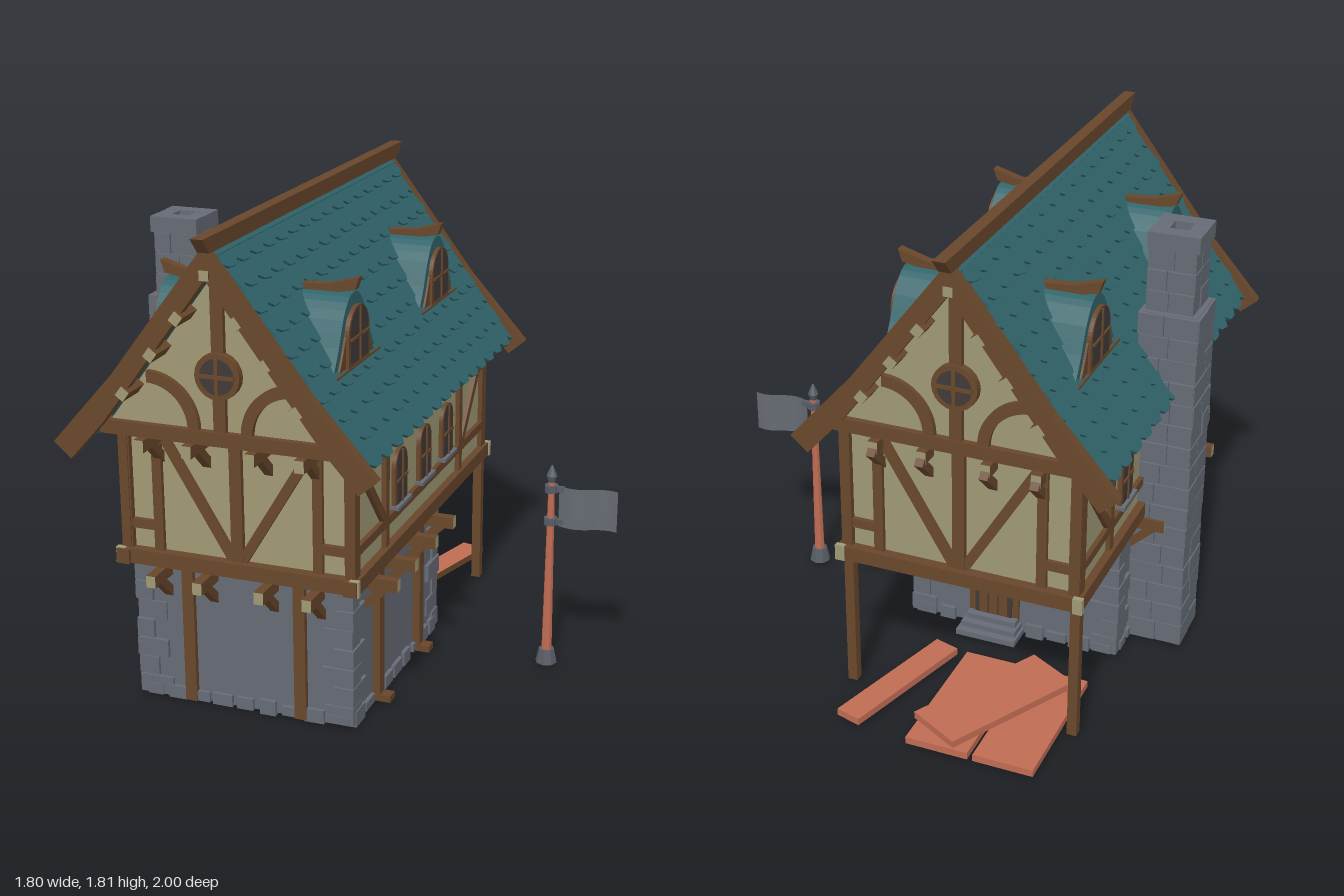
import * as THREE from 'three';

const mat = (name, color) => Object.assign(new THREE.MeshStandardMaterial({ color }), { name });
const wood = mat('timber', 0x68472b), cream = mat('plaster', 0xa09975), stone = mat('stone', 0x666b75);
const teal = mat('roof tile', 0x30646a), glass = mat('dark glass', 0x403a38), clay = mat('red wood', 0xc06c53);
const iron = mat('iron', 0x575c66), soot = mat('soot', 0x2c2d31);
const endGrain = [wood, wood, wood, wood, cream, wood];

let seed = 7;
const rnd = (a, b) => { seed = (seed * 16807) % 2147483647; return a + (b - a) * seed / 2147483647; };

function add(parent, name, geo, material, x = 0, y = 0, z = 0) {
  const m = new THREE.Mesh(geo, material);
  m.name = name;
  m.position.set(x, y, z);
  parent.add(m);
  return m;
}
const box = (p, name, m, w, h, d, x, y, z) => add(p, name, new THREE.BoxGeometry(w, h, d), m, x, y, z);
const group = (p, name, ry = 0) => {
  const g = new THREE.Group();
  g.name = name;
  g.rotation.y = ry;
  p.add(g);
  return g;
};
// straight timber between two points of a wall plane
function bar(p, name, m, x1, y1, x2, y2, w, d, z) {
  const b = box(p, name, m, Math.hypot(x2 - x1, y2 - y1), w, d, (x1 + x2) / 2, (y1 + y2) / 2, z);
  b.rotation.z = Math.atan2(y2 - y1, x2 - x1);
  return b;
}
const poly = pts => new THREE.Shape(pts.map(p => new THREE.Vector2(p[0], p[1])));
const extrude = (shape, depth) => new THREE.ExtrudeGeometry(shape, { depth, bevelEnabled: false, curveSegments: 10 });
const faceted = geo => { const g = geo.toNonIndexed(); g.computeVertexNormals(); return g; };
// arched outline standing on y = 0
function arch(w, h) {
  const s = new THREE.Shape();
  s.moveTo(-w, 0).lineTo(w, 0).lineTo(w, h - w);
  s.absarc(0, h - w, w, 0, Math.PI, false);
  return s;
}
function bell(k) {
  const half = [[0.25, 0], [0.2, 0.025], [0.15, 0.1], [0.1, 0.2], [0.05, 0.255]];
  const pts = [...half, [0, 0.27], ...half.slice().reverse().map(([x, y]) => [-x, y])];
  return new THREE.Shape(new THREE.SplineCurve(pts.map(([x, y]) => new THREE.Vector2(x * k, y * k))).getPoints(24));
}
function archedWindow(p, x, y, z, w, h) {
  const g = group(p, 'archedWindow');
  g.position.set(x, y, z);
  add(g, 'windowFrame', extrude(arch(w + 0.015, h + 0.015), 0.016), wood);
  add(g, 'windowPane', new THREE.ShapeGeometry(arch(w, h), 10), glass, 0, 0.012, 0.018);
  box(g, 'mullion', wood, 0.009, h, 0.008, 0, h / 2 + 0.01, 0.02);
  box(g, 'glazingBar', wood, 2 * w, 0.009, 0.008, 0, h * 0.52, 0.02);
  return g;
}
// joist end with a slanted brace beneath it
function joist(p, x, y, z, len) {
  box(p, 'joist', endGrain, 0.036, 0.045, len, x, y, z + len / 2 - 0.03);
  const b = box(p, 'joistBrace', wood, 0.032, 0.03, 0.125, x, y - 0.055, z + 0.035);
  b.rotation.x = -0.75;
}

// timber framing of a gable end: f is the wall face, g the gable face
function facade(p, f, g, edge) {
  box(p, 'sill', wood, 0.92, 0.055, 0.06, 0, 0.565, f + 0.01);
  box(p, 'tieBeam', wood, 0.91, 0.05, 0.05, 0, 1.085, g);
  box(p, 'kingPost', wood, 0.045, 0.6, 0.04, 0, 1.37, g);
  box(p, 'centrePost', wood, 0.045, 0.5, 0.04, 0, 0.82, f);
  add(p, 'roundWindowFrame', new THREE.CylinderGeometry(0.083, 0.083, 0.06, 20).rotateX(Math.PI / 2), wood, 0, 1.31, g);
  add(p, 'roundWindowPane', new THREE.CircleGeometry(0.064, 20), glass, 0, 1.31, g + 0.032);
  box(p, 'roundWindowBar', wood, 0.013, 0.13, 0.008, 0, 1.31, g + 0.034);
  box(p, 'roundWindowBar', wood, 0.13, 0.013, 0.008, 0, 1.31, g + 0.034);
  box(p, 'ridgeEnd', endGrain, 0.035, 0.035, edge + 0.045 - g, 0, 1.675, (edge + 0.045 + g) / 2);
  for (const s of [-1, 1]) {
    box(p, 'cornerPost', wood, 0.04, 0.52, 0.045, s * 0.427, 0.82, f);
    box(p, 'innerPost', wood, 0.036, 0.5, 0.035, s * 0.305, 0.82, f);
    box(p, 'shortRail', wood, 0.12, 0.035, 0.035, s * 0.365, 0.685, f);
    bar(p, 'diagonal', wood, s * 0.285, 1.04, s * 0.02, 0.6, 0.036, 0.036, f);
    box(p, 'sillEnd', cream, 0.036, 0.06, 0.02, s * 0.448, 0.565, f + 0.035);
    // quarter-round brace
    const a = new THREE.Shape(), t0 = s > 0 ? Math.PI / 2 : 0;
    a.absarc(0, 0, 0.192, t0, t0 + Math.PI / 2, false);
    a.absarc(0, 0, 0.15, t0 + Math.PI / 2, t0, true);
    add(p, 'curvedBrace', extrude(a, 0.02), wood, s * 0.27, 1.11, g);
    // barge board with flared foot
    add(p, 'bargeBoard', extrude(poly([[0, 1.775], [0.36, 1.3], [0.595, 1.035], [0.53, 0.98], [0.4, 1.125], [0, 1.66]]
      .map(([x, y]) => [s * x, y])), 0.04), wood, 0, 0, edge);
    for (const u of [0.105, 0.205, 0.315])
      box(p, 'purlinEnd', endGrain, 0.042, 0.036, edge + 0.052 - g, s * u, 1.663 - 1.34 * u, (edge + 0.052 + g) / 2).rotation.z = -s * 0.93;
  }
  for (const u of [-0.295, -0.115, 0.12, 0.3]) joist(p, u, 1.035, f, g - f + 0.08);
}

function sideWall(p, s) {
  const f = 0.43, bx = (z1, y1, z2, y2, w) => bar(p, 'sideTimber', wood, -s * z1, y1, -s * z2, y2, w, 0.035, f);
  box(p, 'sideSill', wood, 1.53, 0.055, 0.05, -s * 0.03, 0.565, f + 0.005);
  bx(0.74, 0.685, -0.71, 0.685, 0.034);
  for (const z of [0.44, -0.405]) bx(z, 0.57, z, 1.07, 0.036);
  for (const z of [0.745, -0.71]) bx(z, 0.57, z, 1.07, 0.045);
  bx(0.74, 1.03, 0.45, 0.69, 0.034);
  bx(-0.71, 1.03, -0.42, 0.69, 0.034);
  for (const z of [0.29, 0.02, -0.245]) {
    archedWindow(p, -s * z, 0.7, f, 0.05, 0.205);
    box(p, 'windowSill', stone, 0.15, 0.014, 0.04, -s * z, 0.707, f + 0.012);
  }
  for (const z of [0.58, 0.39, 0.16, -0.05]) joist(p, -s * z, 0.51, 0.415, 0.155);
  for (const z of [0.48, 0.04]) {
    box(p, 'groundPost', wood, 0.045, 0.53, 0.04, -s * z, 0.265, 0.42);
    box(p, 'postFoot', wood, 0.05, 0.025, 0.07, -s * z, 0.0125, 0.445);
  }
  // bell-shaped dormers
  for (const z of [0.51, -0.37]) {
    const d = group(p, 'dormer');
    d.position.set(-s * z, 1.275, 0);
    add(d, 'dormerHood', extrude(bell(1), 0.3), teal, 0, 0, 0.05);
    add(d, 'dormerFrame', extrude(bell(0.83), 0.3), wood, 0, 0, 0.058);
    archedWindow(d, 0, 0.022, 0.352, 0.085, 0.19);
    box(d, 'dormerSill', wood, 0.42, 0.02, 0.02, 0, 0.01, 0.358);
    const tip = [[0.12, 0.25], [0.25, 0.258], [0.36, 0.28], [0.375, 0.325], [0.27, 0.295], [0.12, 0.285]];
    add(d, 'dormerRidge', extrude(poly(tip.map(([a, b]) => [-a, b])), 0.036).rotateY(Math.PI / 2), wood, -0.018, 0, 0);
  }
}

// one roof slope: slab plus overlapping rows of cut tiles
function roofSlope(p, s) {
  const g = group(p, 'roofSlope'), len = 0.92, a = Math.atan(1.33), half = 0.85, n = 16, w = 2 * half / n, rows = 10;
  g.position.set(0, 1.762, 0.065);
  const c = Math.cos(a), k = Math.sin(a);
  g.quaternion.setFromRotationMatrix(new THREE.Matrix4().makeBasis(
    new THREE.Vector3(0, 0, -s), new THREE.Vector3(-c * s, k, 0), new THREE.Vector3(s * k, c, 0)));
  box(g, 'roofSlab', teal, 2 * half, len - 0.03, 0.03, 0, -len / 2 + 0.015, -0.025);
  const step = (len - 0.02) / rows;
  for (let i = 0; i < rows; i++) {
    const pts = [[half, 0.12], [-half, 0.12]], off = (i % 2) * w / 2;
    for (let j = -1; j <= n; j++)
      for (const [u, v] of [[0, 0.026], [0.25, 0.004], [0.7, 0]]) {
        const x = -half + off + (j + u) * w;
        if (x >= -half && x <= half) pts.push([x, v + rnd(0, 0.006)]);
      }
    const row = add(g, 'tileRow', extrude(poly(pts), 0.011), teal, 0, -(i + 1) * step - 0.01, 0.002);
    row.rotation.x = -0.1;
    row.scale.y = i === 0 ? 0.8 : 1;
  }
}

// stacked courses of rough blocks round a rectangular core
function courses(p, x, z, w, d, y0, y1, n) {
  const h = (y1 - y0) / n;
  box(p, 'chimneyCore', stone, w - 0.02, y1 - y0, d - 0.02, x, (y0 + y1) / 2, z);
  for (let i = 0; i < n; i++)
    for (const [dx, dz] of [[1, 0], [-1, 0], [0, 1], [0, -1]]) {
      const L = dx ? d : w, cut = rnd(0.35, 0.65) * L;
      for (const [a, b] of [[0, cut], [cut, L]]) {
        const t = rnd(0.018, 0.03), m = (a + b) / 2 - L / 2, l = b - a - 0.004, o = (dx ? w : d) / 2 - 0.012;
        box(p, 'chimneyStone', stone, dx ? t : l, h - 0.005, dx ? l : t, x + dx * o + (dx ? 0 : m), y0 + (i + 0.5) * h, z + dz * o + (dx ? m : 0));
      }
    }
}

function groundFloor(p) {
  const W = 0.41, z0 = -0.2, z1 = 0.715;
  box(p, 'stoneWalls', stone, 2 * W, 0.54, z1 - z0, 0, 0.27, (z0 + z1) / 2);
  // corner stones
  for (const sx of [-1, 1]) for (const zc of [z0, z1]) for (let i = 0; i < 7; i++) {
    const a = i % 2 ? rnd(0.06, 0.08) : rnd(0.1, 0.14), b = i % 2 ? rnd(0.1, 0.15) : rnd(0.06, 0.09), e = rnd(0.006, 0.016);
    const sz = zc > 0 ? 1 : -1;
    box(p, 'cornerStone', stone, a, 0.07, b, sx * (W + e - a / 2), 0.037 + i * 0.075, zc + sz * (e - b / 2));
  }
  // stones along the foot of the walls
  for (let i = 0; i < 9; i++) {
    const x = -0.36 + i * 0.09, z = z0 + 0.06 + i * 0.1;
    box(p, 'footStone', stone, rnd(0.06, 0.085), rnd(0.03, 0.06), 0.03, x, 0.02, z1);
    for (const s of [-1, 1]) box(p, 'footStone', stone, 0.03, rnd(0.03, 0.06), rnd(0.06, 0.09), s * W, 0.02, z);
    if (Math.abs(x - 0.075) > 0.13) box(p, 'footStone', stone, rnd(0.06, 0.085), rnd(0.03, 0.06), 0.03, x, 0.02, z0);
  }
  for (const u of [-0.212, 0.22]) box(p, 'groundPost', wood, 0.045, 0.53, 0.04, u, 0.265, z1);
  const front = group(p, 'frontJoists'), back = group(p, 'backJoists', Math.PI);
  for (const u of [-0.295, -0.115, 0.12, 0.3]) {
    joist(front, u, 0.51, z1, 0.17);
    joist(back, u, 0.51, -z0, 0.14);
  }
  // back door and steps
  box(p, 'doorFrame', wood, 0.2, 0.38, 0.03, 0.075, 0.25, z0);
  box(p, 'doorLeaf', glass, 0.15, 0.34, 0.008, 0.075, 0.235, z0 - 0.017);
  for (const x of [0.035, 0.075, 0.115]) box(p, 'doorBoard', wood, 0.034, 0.33, 0.008, x, 0.235, z0 - 0.021);
  for (let i = 0; i < 3; i++) box(p, 'step', stone, 0.24 - i * 0.02, 0.022, 0.11 - i * 0.03, 0.075, 0.011 + i * 0.022, z0 - 0.055 + i * 0.015);
}

function flagPole(root) {
  const g = group(root, 'flagPole');
  g.position.set(0.65, 0, -0.025);
  const turned = (name, m, r1, r2, y1, y2, n) => add(g, name, faceted(new THREE.CylinderGeometry(r2, r1, y2 - y1, n)), m, 0, (y1 + y2) / 2, 0);
  turned('poleBase', iron, 0.042, 0.03, 0, 0.055, 8);
  turned('pole', clay, 0.02, 0.012, 0.055, 0.745, 8);
  turned('finial', iron, 0.012, 0.021, 0.735, 0.76, 8);
  turned('finialTip', iron, 0.021, 0.004, 0.76, 0.8, 8);
  const flagMat = mat('flag cloth', 0x666b72);
  flagMat.side = THREE.DoubleSide;
  for (const y of [0.58, 0.71]) {
    turned('poleRing', iron, 0.026, 0.026, y - 0.014, y + 0.014, 8);
    box(g, 'flagHook', iron, 0.04, 0.022, 0.015, 0.03, y, 0);
  }
  const cloth = new THREE.PlaneGeometry(0.22, 0.16, 14, 1), q = cloth.attributes.position;
  for (let i = 0; i < q.count; i++) q.setZ(i, 0.016 * Math.sin((q.getX(i) + 0.11) * 26));
  cloth.computeVertexNormals();
  add(g, 'flag', cloth, flagMat, 0.14, 0.643, 0);
}

export function createModel() {
  const root = new THREE.Group();
  root.name = 'timberHouse';
  const house = group(root, 'house');
  house.position.x = -0.275;
  groundFloor(house);
  box(house, 'upperWalls', cream, 0.86, 0.54, 1.46, 0, 0.81, 0.01);
  add(house, 'gableWalls', extrude(poly([[-0.455, 1.06], [0.455, 1.06], [0, 1.675]]), 1.59), cream, 0, 0, -0.74);
  facade(group(house, 'frontGable'), 0.74, 0.85, 0.91);
  facade(group(house, 'backGable', Math.PI), 0.72, 0.74, 0.775);
  for (const s of [1, -1]) {
    sideWall(group(house, s > 0 ? 'leftSide' : 'rightSide', s * Math.PI / 2), s);
    roofSlope(house, s);
    box(house, 'overhangPost', wood, 0.036, 0.54, 0.036, s * 0.43, 0.27, -0.712);
  }
  // ridge beam with raked ends
  add(house, 'ridgeBeam', extrude(poly([[-1, 1.805], [-0.95, 1.75], [0.84, 1.75], [0.89, 1.805]]), 0.045).rotateY(Math.PI / 2), wood, -0.0225, 0, 0);

  // chimney
  const ch = group(root, 'chimney');
  courses(ch, -0.785, 0.055, 0.22, 0.22, 0, 1.36, 16);
  courses(ch, -0.78, 0.055, 0.175, 0.18, 1.36, 1.6, 3);
  for (const s of [-1, 1]) {
    box(ch, 'chimneyCap', stone, 0.19, 0.06, 0.06, -0.785, 1.63, 0.055 + s * 0.066);
    box(ch, 'chimneyCap', stone, 0.06, 0.058, 0.075, -0.785 + s * 0.065, 1.63, 0.055);
  }
  box(ch, 'flue', soot, 0.075, 0.006, 0.075, -0.785, 1.604, 0.055);

  // loose planks behind the house
  const planks = group(root, 'planks'), sides = [wood, clay, clay, wood, clay, clay];
  for (const [x, y, z, w, l, r] of [[-0.55, 0.014, -0.72, 0.225, 0.56, 0], [-0.3, 0.014, -0.72, 0.235, 0.56, 0],
    [-0.4, 0.046, -0.7, 0.22, 0.56, -0.5], [-0.015, 0.014, -0.69, 0.1, 0.56, -0.28]])
    box(planks, 'plank', sides, w, 0.027, l, x, y, z).rotation.y = r;
  flagPole(root);
  return root;
}
